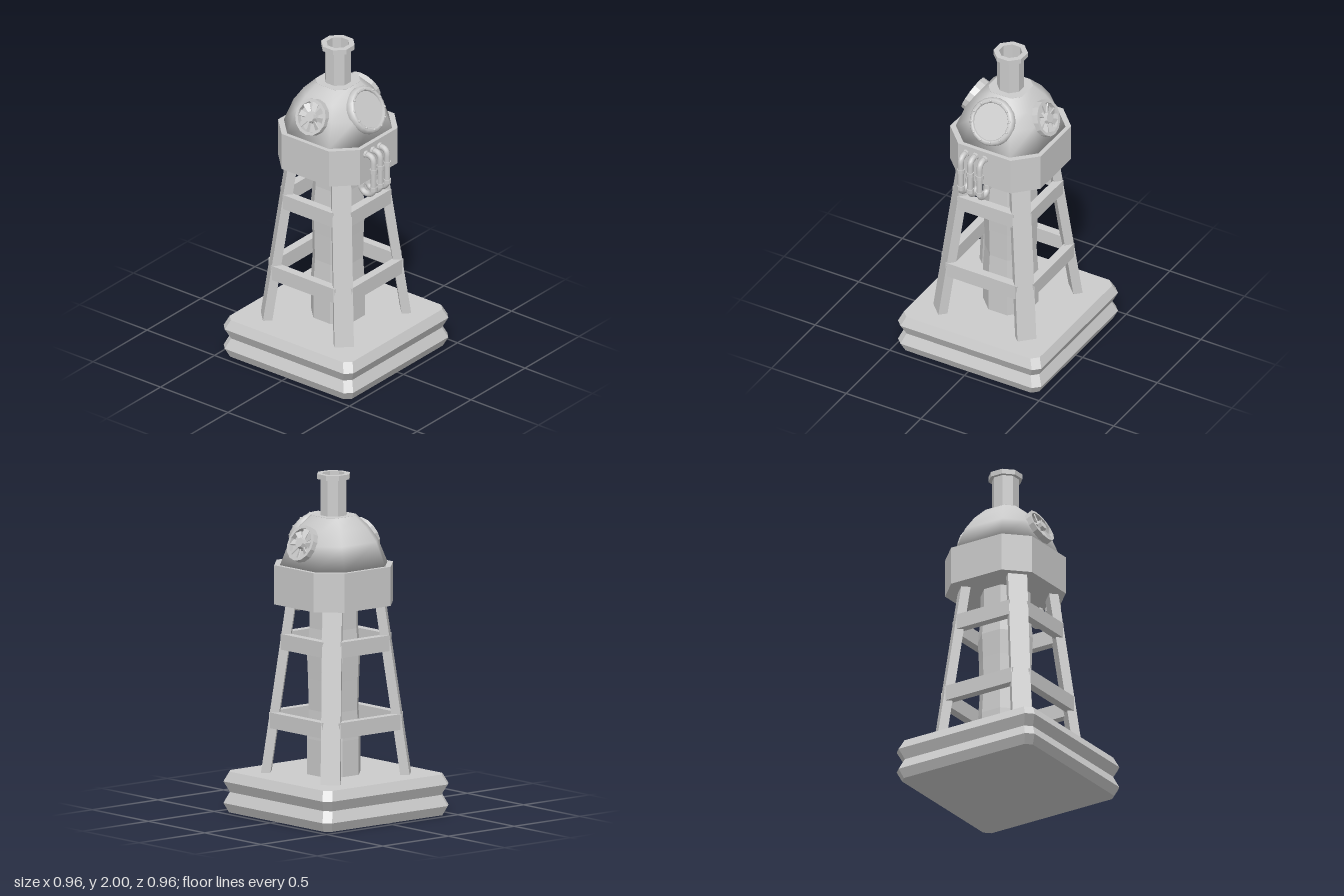
import * as THREE from 'three';

const flatMat = new THREE.MeshStandardMaterial({ color: 0xcccccc, flatShading: true });
const smoothMat = new THREE.MeshStandardMaterial({ color: 0xcccccc });

function add(parent, name, geometry, material = flatMat) {
  const mesh = new THREE.Mesh(geometry, material);
  mesh.name = name;
  parent.add(mesh);
  return mesh;
}

// Stack of chamfered squares: each ring is [half width, y, half length of the straight side]
function loft(rings, capTop = true) {
  const pos = [], index = [];
  for (const [h, y, f] of rings) {
    for (const [x, z] of [[h, f], [h, -f], [f, -h], [-f, -h], [-h, -f], [-h, f], [-f, h], [f, h]]) pos.push(x, y, z);
  }
  for (let r = 0; r < rings.length - 1; r++) {
    for (let i = 0; i < 8; i++) {
      const a = r * 8 + i, b = r * 8 + (i + 1) % 8;
      index.push(a, b, b + 8, a, b + 8, a + 8);
    }
  }
  const top = (rings.length - 1) * 8;
  for (let i = 1; i < 7; i++) {
    index.push(0, i + 1, i);
    if (capTop) index.push(top, top + i, top + i + 1);
  }
  const g = new THREE.BufferGeometry();
  g.setAttribute('position', new THREE.Float32BufferAttribute(pos, 3));
  g.setIndex(index);
  g.computeVertexNormals();
  return g;
}

const octagon = (h, y) => [h, y, h * 0.414];
const lathe = (points, sides) => new THREE.LatheGeometry(points.map(p => new THREE.Vector2(...p)), sides);

// Group whose local +y points along the given normal
function facing(parent, name, position, normal) {
  const g = new THREE.Group();
  g.name = name;
  g.position.set(...position);
  g.quaternion.setFromUnitVectors(new THREE.Vector3(0, 1, 0), new THREE.Vector3(...normal).normalize());
  parent.add(g);
  return g;
}

function addFan(parent, side) {
  const e = 0.42;
  const fan = facing(parent, 'fan', [0, 1.612, side * 0.24], [0, Math.sin(e), side * Math.cos(e)]);
  add(fan, 'fanRim', lathe([[0.09, -0.03], [0.108, -0.03], [0.108, 0.016], [0.09, 0.016], [0.09, -0.03]], 14));
  add(fan, 'fanBack', new THREE.CylinderGeometry(0.098, 0.098, 0.012, 14)).position.y = -0.022;
  add(fan, 'fanHub', new THREE.CylinderGeometry(0.03, 0.04, 0.045, 8)).position.y = 0.003;
  for (let i = 0; i < 8; i++) {
    // blade widens towards the rim and is pitched about its length
    const g = new THREE.BoxGeometry(0.07, 0.006, 0.042);
    const p = g.attributes.position;
    for (let k = 0; k < p.count; k++) if (p.getX(k) < 0) p.setZ(k, p.getZ(k) * 0.4);
    g.rotateX(0.45).translate(0.062, 0, 0).rotateY(i * Math.PI / 4);
    add(fan, 'fanBlade', g);
  }
}

function addPorthole(parent) {
  const e = 0.54;
  const port = facing(parent, 'porthole', [0.215, 1.632, 0], [Math.cos(e), Math.sin(e), 0]);
  add(port, 'portholeFrame', lathe([[0.13, -0.06], [0.142, -0.02], [0.142, 0.003], [0.132, 0.02],
    [0.116, 0.023], [0.11, 0.015], [0.11, -0.01]], 20), smoothMat);
  add(port, 'portholeGlass', new THREE.CylinderGeometry(0.112, 0.112, 0.02, 20)).position.y = 0;
  for (let i = 0; i < 12; i++) {
    const a = (i + 0.5) * Math.PI / 6;
    add(port, 'rivet', new THREE.SphereGeometry(0.008, 8, 6), smoothMat)
      .position.set(Math.cos(a) * 0.122, 0.023, Math.sin(a) * 0.122);
  }
}

function addPipe(parent, z) {
  const V = (x, y) => new THREE.Vector3(x, y, z);
  const path = new THREE.CurvePath();
  path.add(new THREE.LineCurve3(V(0.29, 1.422), V(0.325, 1.422)));
  path.add(new THREE.QuadraticBezierCurve3(V(0.325, 1.422), V(0.362, 1.422), V(0.362, 1.38)));
  path.add(new THREE.LineCurve3(V(0.362, 1.38), V(0.362, 1.215)));
  path.add(new THREE.CubicBezierCurve3(V(0.362, 1.215), V(0.362, 1.152), V(0.27, 1.152), V(0.27, 1.215)));
  path.add(new THREE.LineCurve3(V(0.27, 1.215), V(0.27, 1.25)));
  add(parent, 'pipe', new THREE.TubeGeometry(path, 40, 0.018, 10), smoothMat);
  for (const [x, y, turn] of [[0.306, 1.422, 1], [0.362, 1.33, 0], [0.362, 1.215, 0], [0.27, 1.215, 0]]) {
    const c = add(parent, 'pipeCollar', new THREE.CylinderGeometry(0.023, 0.023, 0.025, 10));
    c.position.set(x, y, z);
    c.rotation.z = turn * Math.PI / 2;
  }
}

export function createModel() {
  const model = new THREE.Group();
  model.name = 'tower';

  // Grooved square base
  add(model, 'base', loft([[0.455, 0, 0.42], [0.48, 0.055, 0.44], [0.452, 0.12, 0.415],
    [0.48, 0.182, 0.44], [0.455, 0.24, 0.415]]));

  // Four diagonal legs leaning inwards, as sheared boxes
  for (let i = 0; i < 4; i++) {
    const g = new THREE.BoxGeometry(0.113, 1.04, 0.055);
    g.translate(0, 0.74, 0.404);
    const p = g.attributes.position;
    for (let k = 0; k < p.count; k++) p.setZ(k, p.getZ(k) - (p.getY(k) - 0.24) * 0.145);
    g.rotateY(Math.PI / 4 + i * Math.PI / 2);
    add(model, 'leg', g);
  }

  // Two levels of cross bars
  for (const [y, outer, half] of [[0.55, 0.308, 0.238], [1.012, 0.262, 0.187]]) {
    for (let i = 0; i < 4; i++) {
      const g = new THREE.BoxGeometry(half * 2, 0.092, 0.05);
      g.translate(0, y, outer - 0.025).rotateY(i * Math.PI / 2);
      add(model, 'crossBar', g);
    }
  }

  const upper = new THREE.Group();
  upper.name = 'upperTower';
  upper.position.z = -0.018;
  model.add(upper);

  // Central column with a slight waist
  add(upper, 'column', loft([octagon(0.15, 0.22), octagon(0.15, 0.45), octagon(0.14, 0.62),
    octagon(0.144, 0.8), octagon(0.15, 0.95), octagon(0.136, 1.1), octagon(0.136, 1.26)]));

  // Cabin and dome
  add(upper, 'cabin', loft([[0.303, 1.24, 0.175], [0.303, 1.47, 0.175]]));
  add(upper, 'dome', loft([[0.278, 1.468, 0.155], [0.225, 1.61, 0.13], [0.175, 1.69, 0.1], [0.113, 1.756, 0.065]], false), smoothMat);
  add(upper, 'domeCap', loft([[0.112, 1.74, 0.064], [0.113, 1.757, 0.065]]));

  // Hollow chimney with a flared rim
  add(upper, 'chimney', loft([octagon(0.073, 1.74), octagon(0.073, 1.97), octagon(0.093, 1.97),
    octagon(0.093, 2), octagon(0.063, 2), octagon(0.063, 1.8)]));

  addFan(upper, 1);
  addFan(upper, -1);
  addPorthole(upper);
  for (const z of [0.123, 0.06, -0.003]) addPipe(upper, z);
  return model;
}
